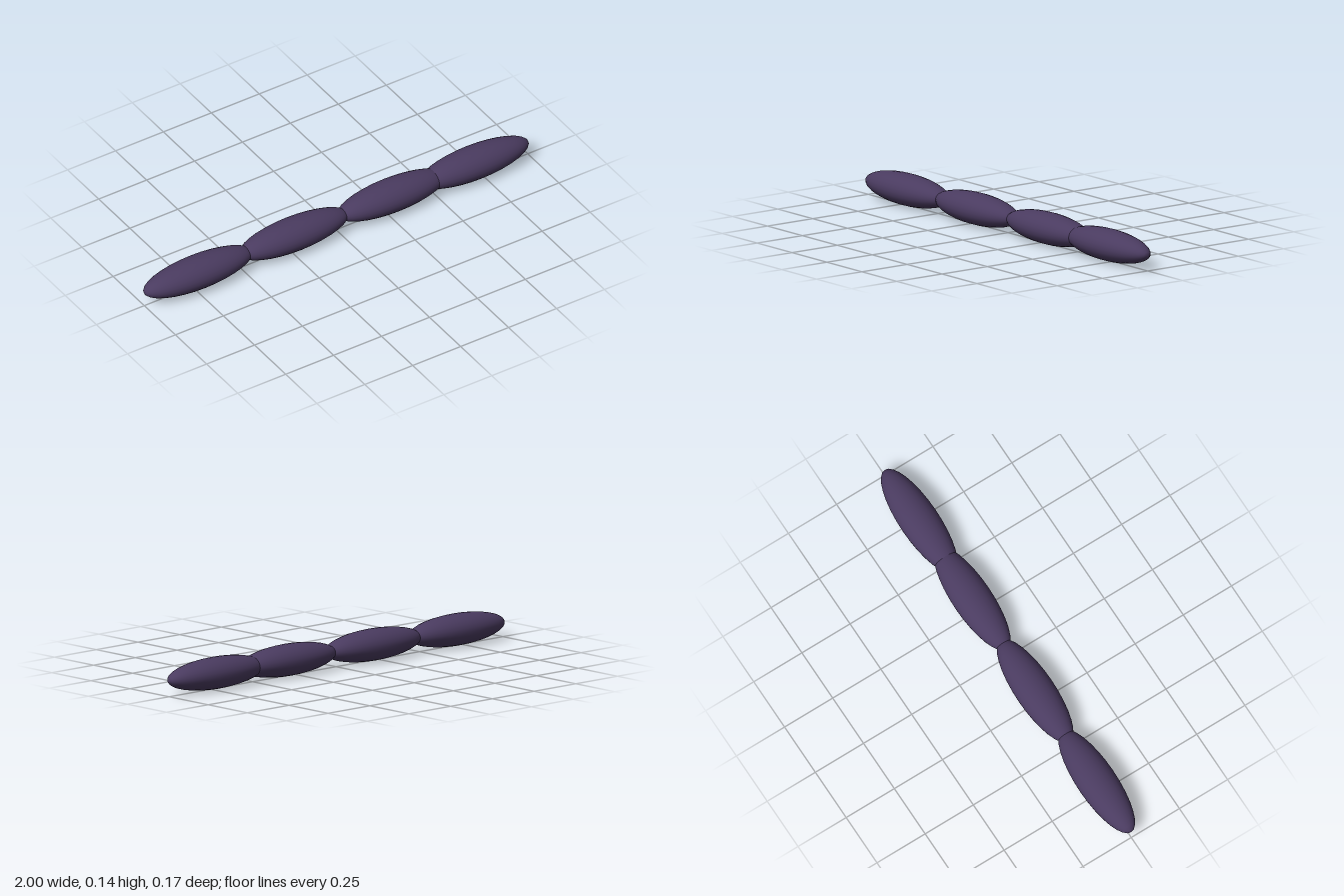
import * as THREE from 'three';

export function createModel() {
  const group = new THREE.Group();
  group.name = 'segmentedChain';
  const purple = new THREE.MeshStandardMaterial({ color: 0x4a3b60 });
  purple.name = 'dark purple';

  // One stretched bead, its poles pointing along x
  const bead = new THREE.SphereGeometry(1, 24, 16);
  bead.rotateZ(Math.PI / 2);
  bead.scale(0.28, 0.07, 0.087);

  // Overlapping beads in a row
  [-0.72, -0.22, 0.29, 0.72].forEach((x, i) => {
    const segment = new THREE.Mesh(bead, purple);
    segment.name = `segment${i + 1}`;
    segment.position.set(x, 0.07, 0);
    group.add(segment);
  });
  return group;
}
